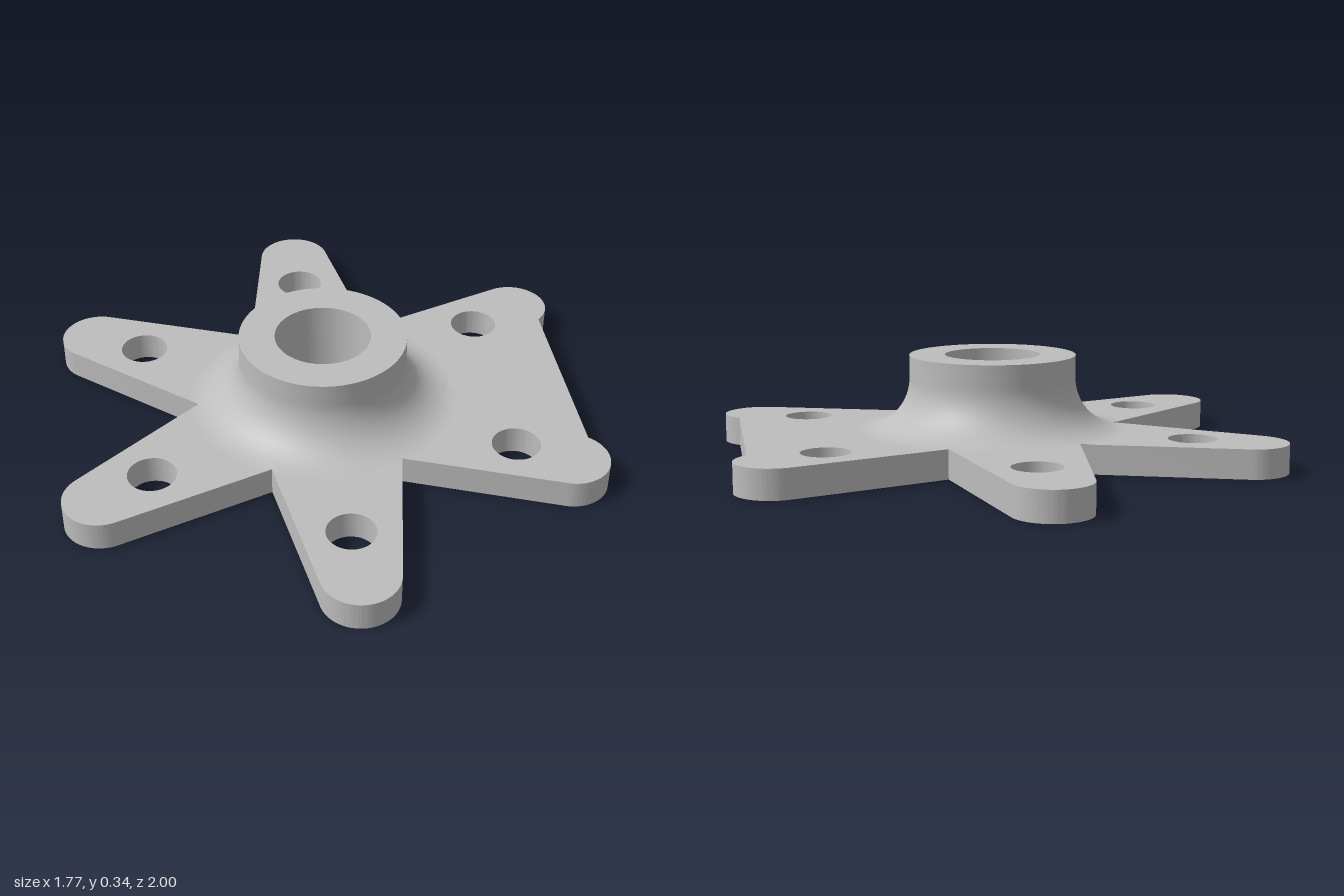
import * as THREE from 'three';
import { toCreasedNormals } from 'three/addons/utils/BufferGeometryUtils.js';

const ARMS = 6, PLATE = 0.097, TOP = 0.345;
const TIP_R = 0.125, TIP_C = 1 - TIP_R; // rounded arm tip
const TAPER = 0.168;                    // slant of the arm sides, radians
const EDGE = TIP_C * Math.sin(TAPER) + TIP_R; // distance of an arm side from the centre
const HALF = Math.PI / ARMS;

// Radius of the star's straight sides at an angle away from an arm's axis
const sideRadius = (phi) => EDGE / Math.cos(phi - (Math.PI / 2 - TAPER));

function circleHole(x, y, r) {
  const path = new THREE.Path();
  path.absarc(x, y, r, 0, Math.PI * 2, true);
  return path;
}

// Six-armed star with rounded tips, bolt holes and a centre bore
function plateGeometry() {
  const shape = new THREE.Shape();
  const valley = sideRadius(HALF);
  const span = Math.PI / 2 - TAPER;
  for (let i = 0; i < ARMS; i++) {
    const a = Math.PI / 2 + i * 2 * HALF;
    const x = Math.cos(a), y = Math.sin(a);
    const vx = valley * Math.cos(a - HALF), vy = valley * Math.sin(a - HALF);
    if (i === 0) shape.moveTo(vx, vy);
    else shape.lineTo(vx, vy);
    shape.absarc(x * TIP_C, y * TIP_C, TIP_R, a - span, a + span, false);
    shape.holes.push(circleHole(x * 0.687, y * 0.687, 0.08));
  }
  shape.closePath();
  shape.holes.push(circleHole(0, 0, 0.137));
  const geo = new THREE.ExtrudeGeometry(shape, { depth: PLATE, bevelEnabled: false, curveSegments: 32 });
  geo.rotateX(-Math.PI / 2);
  return toCreasedNormals(geo, 0.5);
}

// Hub with a concave fillet at its foot and a counterbore
function hubGeometry() {
  const R = 0.28, F = 0.17, points = [];
  for (let i = 0; i <= 18; i++) {
    const t = (i / 18) * Math.PI / 2;
    points.push(new THREE.Vector2(R + F - F * Math.sin(t), PLATE + F - F * Math.cos(t)));
  }
  points.push(new THREE.Vector2(R, TOP), new THREE.Vector2(0.16, TOP), new THREE.Vector2(0.16, PLATE));
  const geo = new THREE.LatheGeometry(points, 96);

  // Trim the foot where it would overhang the valleys between the arms
  const pos = geo.attributes.position;
  for (let i = 0; i < pos.count; i++) {
    const x = pos.getX(i), z = pos.getZ(i), r = Math.hypot(x, z);
    const turn = Math.atan2(x, z) / (2 * HALF);
    const phi = Math.abs(turn - Math.round(turn)) * 2 * HALF;
    const limit = sideRadius(phi);
    if (r > limit) pos.setXYZ(i, x * limit / r, pos.getY(i), z * limit / r);
  }
  return toCreasedNormals(geo, 0.5);
}

export function createModel() {
  const group = new THREE.Group();
  group.name = 'starFlange';
  const grey = new THREE.MeshStandardMaterial({ color: 0xbdbdbd });
  grey.name = 'plain grey';

  const plate = new THREE.Mesh(plateGeometry(), grey);
  plate.name = 'starPlate';
  const hub = new THREE.Mesh(hubGeometry(), grey);
  hub.name = 'hub';
  group.add(plate, hub);
  return group;
}
